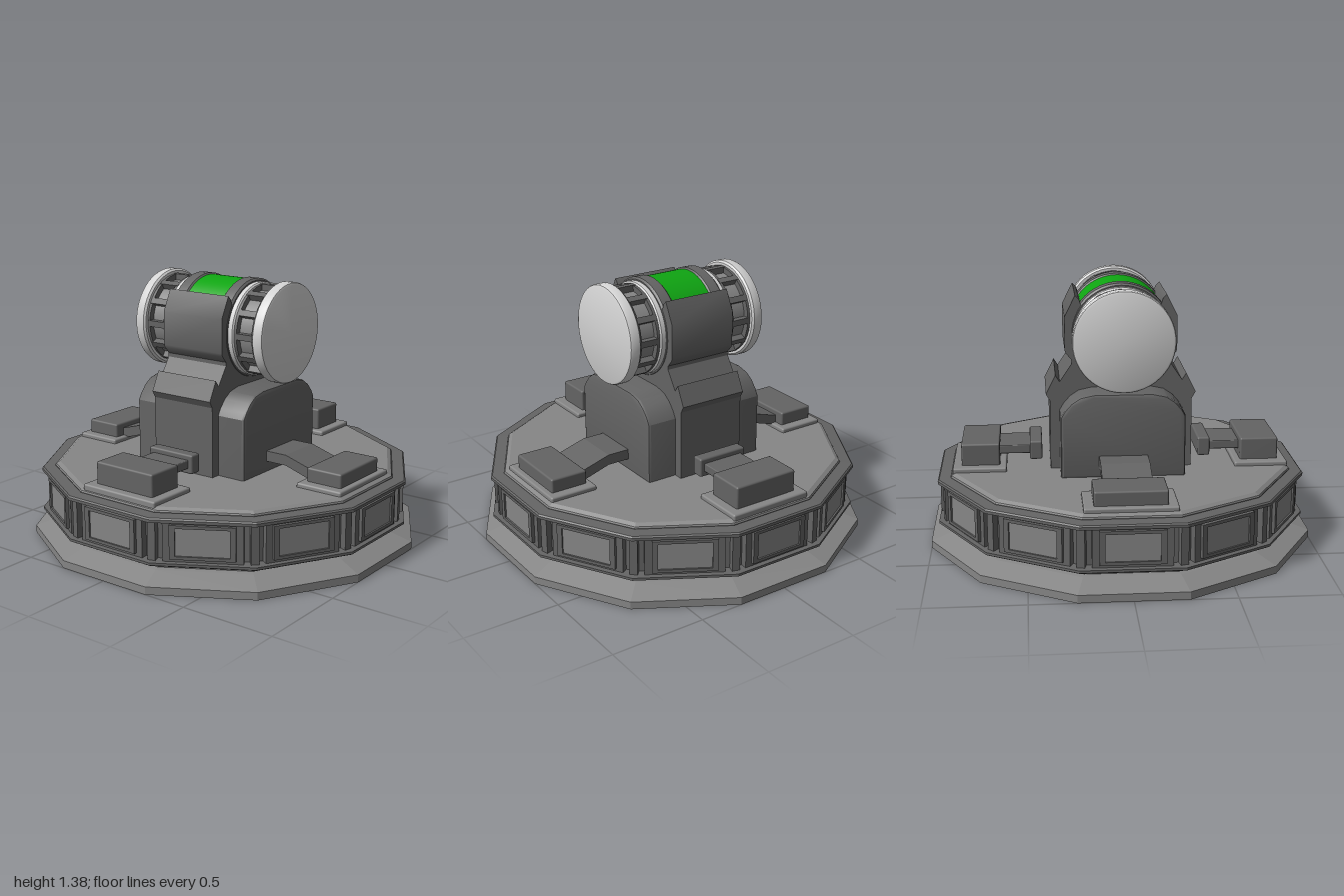
import * as THREE from 'three';
import { toCreasedNormals } from 'three/addons/utils/BufferGeometryUtils.js';
import { RoundedBoxGeometry } from 'three/addons/geometries/RoundedBoxGeometry.js';

const material = (name, color) => {
  const m = new THREE.MeshStandardMaterial({ color });
  m.name = name;
  return m;
};

export function createModel() {
  const dark = material('dark grey', 0x646464);
  const mid = material('mid grey', 0x868686);
  const light = material('light grey', 0xd4d4d4);
  const green = material('green', 0x0fa512);

  const model = new THREE.Group();
  model.name = 'turret';

  const group = (name, parent = model) => {
    const g = new THREE.Group();
    g.name = name;
    parent.add(g);
    return g;
  };
  const add = (parent, name, geometry, mat, x = 0, y = 0, z = 0) => {
    const mesh = new THREE.Mesh(geometry, mat);
    mesh.name = name;
    mesh.position.set(x, y, z);
    parent.add(mesh);
    return mesh;
  };
  const box = (w, h, d, r = 0.01) => new RoundedBoxGeometry(w, h, d, 2, r);
  const points = list => list.map(([x, y]) => new THREE.Vector2(x, y));

  // Twelve-sided solid; profile radii are distances to the flat sides
  const SIDES = 12;
  const twelveSided = profile => {
    const k = 1 / Math.cos(Math.PI / SIDES);
    const g = new THREE.LatheGeometry(points(profile.map(([r, y]) => [r * k, y])), SIDES, Math.PI / SIDES);
    return toCreasedNormals(g, 0.01);
  };
  // Round solid turned about the x axis
  const turned = profile => {
    const g = new THREE.LatheGeometry(points(profile), 48);
    g.rotateZ(-Math.PI / 2);
    return toCreasedNormals(g, 0.6);
  };
  // Side profile, in z and y, mirrored front to back and extruded along x
  const sideExtrude = (half, width, bevel) => {
    const outline = [...half, ...half.slice().reverse().map(([z, y]) => [-z, y])];
    const g = new THREE.ExtrudeGeometry(new THREE.Shape(points(outline)), {
      depth: width - 2 * bevel, bevelEnabled: bevel > 0,
      bevelSize: bevel, bevelThickness: bevel, bevelOffset: -bevel, bevelSegments: 2,
    });
    g.translate(0, 0, bevel - width / 2);
    g.rotateY(-Math.PI / 2);
    return toCreasedNormals(g, 0.5);
  };

  // Base
  const base = group('base');
  add(base, 'skirt', twelveSided([[0, 0], [1, 0], [1, 0.04], [0.885, 0.08], [0.86, 0.085], [0.86, 0.13]]), mid);
  add(base, 'band', twelveSided([
    [0.8, 0.125], [0.945, 0.125], [0.957, 0.132], [0.957, 0.145], [0.9, 0.15],
    [0.9, 0.343], [0.957, 0.348], [0.957, 0.363], [0.95, 0.37], [0.89, 0.375], [0.89, 0.38],
  ]), dark);
  add(base, 'deck', twelveSided([[0.89, 0.372], [0.885, 0.385], [0.865, 0.397], [0, 0.397]]), mid);

  // Framed panels and corner posts around the band
  const rect = (shape, w, h) => {
    shape.moveTo(-w, -h).lineTo(w, -h).lineTo(w, h).lineTo(-w, h).closePath();
    return shape;
  };
  const frameShape = rect(new THREE.Shape(), 0.16, 0.086);
  frameShape.holes.push(rect(new THREE.Path(), 0.132, 0.07));
  const frameGeo = new THREE.ExtrudeGeometry(frameShape, { depth: 0.02, bevelEnabled: false });
  const slabGeo = new THREE.BoxGeometry(0.39, 0.2, 0.05);
  const paneGeo = new THREE.BoxGeometry(0.264, 0.14, 0.008);
  const postGeo = new THREE.BoxGeometry(0.04, 0.2, 0.05);
  for (let i = 0; i < SIDES; i++) {
    const panel = group('sidePanel', base);
    panel.rotation.y = (i * 2 * Math.PI) / SIDES;
    add(panel, 'panelSlab', slabGeo, dark, 0, 0.247, 0.908);
    add(panel, 'panelFrame', frameGeo, dark, 0, 0.25, 0.93);
    add(panel, 'panelPane', paneGeo, mid, 0, 0.25, 0.937);
    const corner = group('cornerPost', base);
    corner.rotation.y = ((i + 0.5) * 2 * Math.PI) / SIDES;
    add(corner, 'post', postGeo, dark, 0, 0.247, 0.935);
  }

  // Front and back clamps
  for (const turn of [0, Math.PI]) {
    const clamp = group(turn ? 'backClamp' : 'frontClamp');
    clamp.rotation.y = turn;
    add(clamp, 'clampPlate', box(0.46, 0.04, 0.28), mid, 0, 0.4, 0.74);
    add(clamp, 'clampBlock', box(0.36, 0.13, 0.2), dark, 0, 0.47, 0.735);
    add(clamp, 'clampArm', box(0.23, 0.045, 0.22, 0.005), dark, 0, 0.482, 0.55);
    add(clamp, 'clampHead', box(0.28, 0.1, 0.065), dark, 0, 0.482, 0.445);
  }

  // Side clamps with a bent arm reaching into the body
  const armShape = new THREE.Shape(points([
    [0.3, 0.455], [0.47, 0.455], [0.63, 0.405], [0.68, 0.405],
    [0.68, 0.455], [0.62, 0.465], [0.47, 0.51], [0.3, 0.51],
  ]));
  const armGeo = new THREE.ExtrudeGeometry(armShape, { depth: 0.25, bevelEnabled: false });
  armGeo.translate(0, 0, -0.125);
  for (const turn of [0, Math.PI]) {
    const clamp = group(turn ? 'rightClamp' : 'leftClamp');
    clamp.rotation.y = turn;
    add(clamp, 'clampPlate', box(0.26, 0.04, 0.46), mid, 0.735, 0.4, 0);
    add(clamp, 'clampBlock', box(0.2, 0.09, 0.36), dark, 0.735, 0.447, 0);
    add(clamp, 'clampArm', armGeo, dark);
  }

  // Central body
  const body = group('body');
  add(body, 'shoulders', sideExtrude([
    [0.32, 0.39], [0.32, 0.715], [0.3, 0.75], [0.265, 0.79], [0.22, 0.82], [0.15, 0.835],
  ], 0.7, 0.015), dark);
  add(body, 'neck', sideExtrude([
    [0.37, 0.39], [0.37, 0.765], [0.39, 0.8], [0.34, 0.9], [0.318, 0.865], [0.255, 0.96],
    [0.255, 0.98], [0.285, 1.015], [0.29, 1.03], [0.29, 1.205], [0.235, 1.315], [0.215, 1.295],
    [0.2, 1.25],
  ], 0.375, 0), dark);

  // Rotating head
  const head = group('head');
  head.position.y = 1.115;
  add(head, 'core', turned([[0, -0.18], [0.235, -0.18], [0.235, 0.18], [0, 0.18]]), dark);
  const lens = new THREE.CylinderGeometry(0.252, 0.252, 0.24, 32, 1, true, -1.05, 2.1);
  lens.rotateZ(Math.PI / 2);
  // Turn the open arc so that it faces up
  lens.computeBoundingBox();
  const arcCentre = lens.boundingBox.getCenter(new THREE.Vector3());
  lens.rotateX(Math.atan2(arcCentre.z, arcCentre.y) * -1);
  const lensMat = green;
  lensMat.side = THREE.DoubleSide;
  add(head, 'greenWindow', lens, lensMat);

  const collarGeo = turned([
    [0.2, 0.112], [0.25, 0.112], [0.26, 0.122], [0.26, 0.18], [0.25, 0.19], [0, 0.19],
  ]);
  const ringGeo = turned([[0.1, 0.185], [0.243, 0.185], [0.243, 0.215], [0.235, 0.222], [0.1, 0.222]]);
  const floorGeo = turned([[0.205, 0.21], [0.205, 0.355]]);
  const rimGeo = x => turned([[0.1, x], [0.235, x], [0.235, x + 0.015], [0.1, x + 0.015]]);
  const capGeo = turned([
    [0, 0.345], [0.25, 0.345], [0.26, 0.355], [0.26, 0.398], [0.256, 0.406], [0.246, 0.41], [0, 0.41],
  ]);
  const ribGeo = new THREE.BoxGeometry(0.12, 0.05, 0.032);
  for (const turn of [0, Math.PI]) {
    const drum = group(turn ? 'rightDrum' : 'leftDrum', head);
    drum.rotation.y = turn;
    add(drum, 'collar', collarGeo, dark);
    add(drum, 'innerRing', ringGeo, light);
    add(drum, 'drumFloor', floorGeo, mid);
    add(drum, 'innerRim', rimGeo(0.222), dark);
    add(drum, 'outerRim', rimGeo(0.33), dark);
    add(drum, 'endCap', capGeo, light);
    for (let i = 0; i < 12; i++) {
      const a = (i * Math.PI) / 6;
      const rib = add(drum, 'rib', ribGeo, dark, 0.283, 0.212 * Math.cos(a), 0.212 * Math.sin(a));
      rib.rotation.x = a;
    }
  }
  return model;
}
